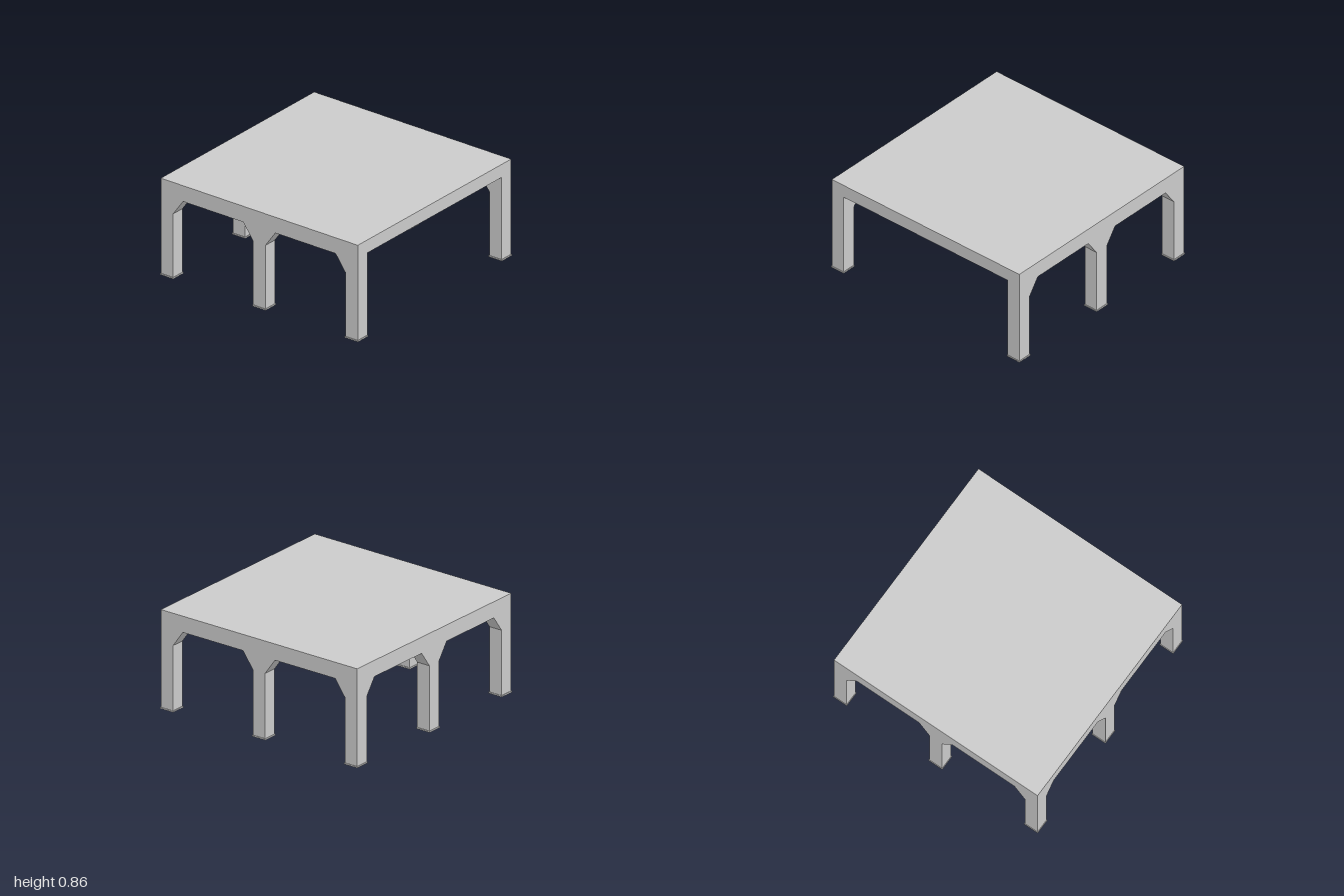
import * as THREE from 'three';

const HALF = 0.995;      // half width of the table
const LEG = 0.124;       // leg and frame thickness
const FOOT = 0.134;      // foot pad width
const FOOT_H = 0.012;
const PLATE_Y = 0.74;    // underside of the top
const TOP_Y = 0.855;
const BEAM_Y = 0.715;    // underside of the frame beams
const BRACE_Y = 0.575;   // where the braces leave the legs
const BRACE_W = 0.1;

const material = new THREE.MeshStandardMaterial({ color: 0xcccccc, flatShading: true });

function addMesh(parent, name, geometry, x = 0, y = 0, z = 0) {
  const mesh = new THREE.Mesh(geometry, material);
  mesh.name = name;
  mesh.position.set(x, y, z);
  parent.add(mesh);
  return mesh;
}

// Frame with a middle leg and chamfered braces; end legs are optional
function frameGeometry(withEndLegs) {
  const inner = HALF - LEG, mid = LEG / 2;
  const right = [
    [mid, FOOT_H], [mid, BRACE_Y], [mid + BRACE_W, BEAM_Y],
    [inner - BRACE_W, BEAM_Y], [inner, BRACE_Y],
  ];
  if (withEndLegs) right.push([inner, FOOT_H], [HALF, FOOT_H], [HALF, PLATE_Y]);
  else right.push([inner, PLATE_Y]);
  const left = right.map(([x, y]) => [-x, y]).reverse();
  const shape = new THREE.Shape([...right, ...left].map(([x, y]) => new THREE.Vector2(x, y)));
  const geometry = new THREE.ExtrudeGeometry(shape, { depth: LEG, bevelEnabled: false });
  return geometry.translate(0, 0, -LEG / 2);
}

export function createModel() {
  const group = new THREE.Group();
  group.name = 'table';
  const c = HALF - LEG / 2; // leg centre line

  // Table top
  addMesh(group, 'tableTop', new THREE.BoxGeometry(2 * HALF, TOP_Y - PLATE_Y, 2 * HALF),
    0, (TOP_Y + PLATE_Y) / 2, 0);

  // Side frames carry the corner legs; the front stays open
  for (const [name, side] of [['leftFrame', 1], ['rightFrame', -1]]) {
    addMesh(group, name, frameGeometry(true), side * c, 0, 0).rotation.y = side * Math.PI / 2;
  }
  addMesh(group, 'backFrame', frameGeometry(false), 0, 0, -c);

  // Foot pads under all seven legs
  const foot = new THREE.BoxGeometry(FOOT, FOOT_H, FOOT);
  for (const x of [-c, 0, c]) {
    for (const z of [-c, 0, c]) {
      if (x === 0 && z !== -c) continue;
      addMesh(group, 'foot', foot, x, FOOT_H / 2, z);
    }
  }
  return group;
}
